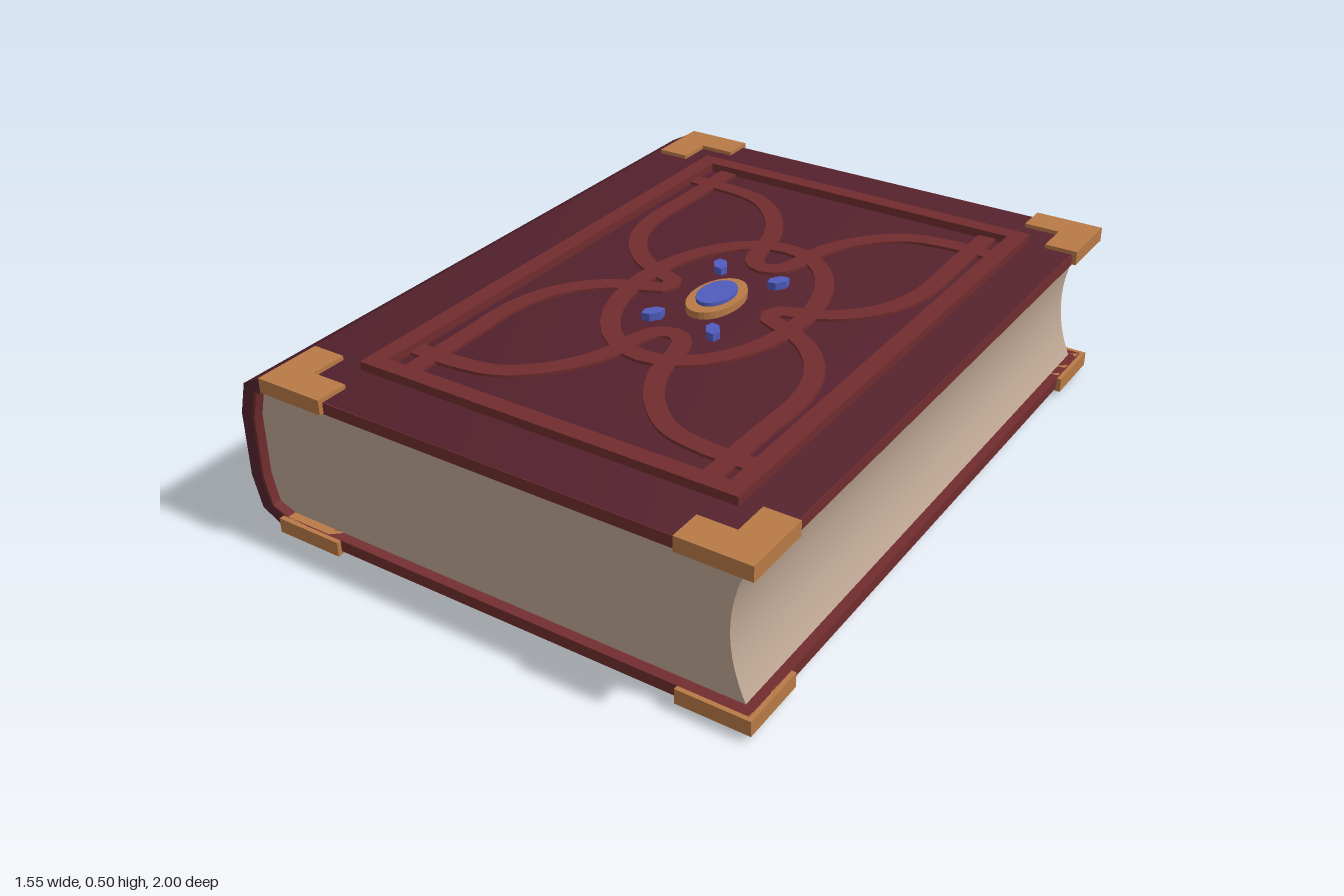
import * as THREE from 'three';
import { toCreasedNormals } from 'three/addons/utils/BufferGeometryUtils.js';

const mat = (name, color) => {
  const m = new THREE.MeshStandardMaterial({ color });
  m.name = name;
  return m;
};

export function createModel() {
  const book = new THREE.Group();
  book.name = 'book';
  const leather = mat('maroon leather', 0x57232f);
  const trim = mat('red trim', 0x712d2e);
  const paper = mat('paper', 0xbfa794);
  const brass = mat('brass', 0xb87a45);
  const gem = mat('blue gem', 0x505cbd);

  const MID = 0.25; // half height of the book
  const CX = 0.06; // centre of the decorated panel
  const V = (x, y) => new THREE.Vector2(x, y);
  const add = (name, geo, material, parent = book) => {
    const m = new THREE.Mesh(geo, material);
    m.name = name;
    parent.add(m);
    return m;
  };

  // Extrude a front profile along z, centred
  const alongZ = (shape, depth) => {
    const g = new THREE.ExtrudeGeometry(shape, { depth, bevelEnabled: false, curveSegments: 16 });
    g.translate(0, 0, -depth / 2);
    return toCreasedNormals(g, 0.9);
  };
  // Extrude a plan shape (x, -z) upward between two heights
  const upright = (shape, y0, y1) => {
    const g = new THREE.ExtrudeGeometry(shape, { depth: y1 - y0, bevelEnabled: false, curveSegments: 16 });
    g.rotateX(-Math.PI / 2);
    g.translate(0, y0, 0);
    return g;
  };

  // Cover: a C-shaped wrap of leather with a red lining inside
  const mirrored = (half) => [...half, ...half.map((p) => V(p.x, 2 * MID - p.y)).reverse()];
  const inner = mirrored([V(0.76, 0.44), V(-0.66, 0.44), V(-0.71, 0.42), V(-0.73, 0.34)]);
  const middle = mirrored([V(0.76, 0.447), V(-0.664, 0.447), V(-0.716, 0.426), V(-0.738, 0.343)]);
  const outer = mirrored([V(0.76, 0.473), V(-0.69, 0.473), V(-0.75, 0.44), V(-0.775, 0.345)]);
  const wrap = (a, b) => new THREE.Shape([...a, ...[...b].reverse()]);
  add('cover', alongZ(wrap(outer, middle), 1.97), leather);
  add('lining', alongZ(wrap(middle, inner), 1.97), trim);

  // Page block with a hollow fore edge
  const pages = new THREE.Shape();
  pages.moveTo(0.735, 0.061);
  pages.quadraticCurveTo(0.648, MID, 0.735, 0.439);
  inner.slice(1, -1).forEach((p) => pages.lineTo(p.x, p.y));
  add('pages', alongZ(pages, 1.915), paper);

  const rect = (cx, w, h, Type = THREE.Shape) =>
    new Type([V(cx - w / 2, -h / 2), V(cx + w / 2, -h / 2), V(cx + w / 2, h / 2), V(cx - w / 2, h / 2)]);

  // Matching trim for both boards: edges, raised frame and corner guards
  const boards = [{ name: 'top', y: 0.4565, f0: 0.47, f1: 0.498, c0: 0.443, c1: 0.485 },
    { name: 'bottom', y: 0.0435, f0: 0.002, f1: 0.03, c0: 0.017, c1: 0.06 }];
  boards[1].f0 = 0;
  for (const b of boards) {
    const g = new THREE.Group();
    g.name = b.name + 'BoardTrim';
    book.add(g);
    for (const s of [-1, 1]) {
      add('boardEndEdge', new THREE.BoxGeometry(1.42, 0.033, 0.004).translate(0.05, b.y, s * 0.985), trim, g);
    }
    add('boardForeEdge', new THREE.BoxGeometry(0.004, 0.033, 1.97).translate(0.76, b.y, 0), trim, g);

    const frame = rect(CX, 1.125, 1.63);
    frame.holes.push(rect(CX, 1.022, 1.53, THREE.Path));
    add('frame', upright(frame, b.f0, b.f1), trim, g);

    for (const sx of [-1, 1]) {
      for (const sz of [-1, 1]) {
        const x = sx > 0 ? 0.775 : -0.675;
        const pts = [[0, 0], [0.205, 0], [0.205, 0.095], [0.098, 0.095], [0.098, 0.2], [0, 0.2]];
        const corner = new THREE.Shape(pts.map(([u, v]) => V(x - sx * u, sz * (1 - v))));
        add('cornerGuard', upright(corner, b.c0, b.c1), brass, g);
      }
    }
  }

  // Flat interlaced ribbons on the front board
  const ornament = new THREE.Group();
  ornament.name = 'ribbonOrnament';
  ornament.position.x = CX;
  book.add(ornament);
  const ribbon = (name, points, width = 0.054) => {
    const curve = new THREE.CatmullRomCurve3(points.map(([x, y]) => new THREE.Vector3(x, y, 0)), false, 'centripetal');
    const left = [], right = [];
    for (let i = 0; i <= 56; i++) {
      const p = curve.getPointAt(i / 56), t = curve.getTangentAt(i / 56);
      left.push(V(p.x - t.y * width / 2, p.y + t.x * width / 2));
      right.push(V(p.x + t.y * width / 2, p.y - t.x * width / 2));
    }
    add(name, upright(new THREE.Shape([...left, ...right.reverse()]), 0.47, 0.481), trim, ornament);
  };
  const endHalf = [[-0.515, 0.661], [-0.4, 0.661], [-0.26, 0.635], [-0.15, 0.54], [-0.085, 0.42], [-0.065, 0.31], [-0.04, 0.25]];
  const sideHalf = [[-0.45, 0.768], [-0.45, 0.55], [-0.45, 0.33], [-0.41, 0.2], [-0.32, 0.095], [-0.22, 0.045], [-0.175, 0.028]];
  for (const s of [-1, 1]) {
    const end = [...endHalf, [0, 0.23], ...endHalf.map(([x, y]) => [-x, y]).reverse()];
    ribbon('endRibbon', end.map(([x, y]) => [x, s * y]));
    const side = [...sideHalf, [-0.16, 0], ...sideHalf.map(([x, y]) => [x, -y]).reverse()];
    ribbon('sideRibbon', side.map(([x, y]) => [s * x, y]));
    // straight ends that cross each other at the panel corners
    for (const t of [-1, 1]) {
      ribbon('cornerRibbon', [[s * 0.515, t * 0.661], [s * 0.38, t * 0.661]]);
    }
  }
  const ellipse = (rx, ry, Type = THREE.Shape) => new Type().absellipse(0, 0, rx, ry, 0, Math.PI * 2, false, 0);
  const ring = ellipse(0.28, 0.405);
  ring.holes.push(ellipse(0.225, 0.35, THREE.Path));
  add('ovalRibbon', upright(ring, 0.47, 0.481), trim, ornament);

  // Central jewel in its brass setting, with four small gems around it
  const jewels = new THREE.Group();
  jewels.name = 'jewels';
  jewels.position.set(0.055, 0, 0.008);
  book.add(jewels);
  add('setting', upright(ellipse(0.07, 0.115), 0.47, 0.494), brass, jewels);
  add('centreGem', upright(ellipse(0.048, 0.076), 0.47, 0.505), gem, jewels);
  for (const sx of [-1, 1]) {
    for (const sz of [-1, 1]) {
      const g = new THREE.CylinderGeometry(1, 1, 0.025, 6);
      g.scale(0.021, 1, 0.034);
      g.rotateY(sx * sz * 0.6);
      add('smallGem', toCreasedNormals(g, 0.5), gem, jewels).position.set(sx * 0.095, 0.4825, sz * 0.17);
    }
  }
  return book;
}
